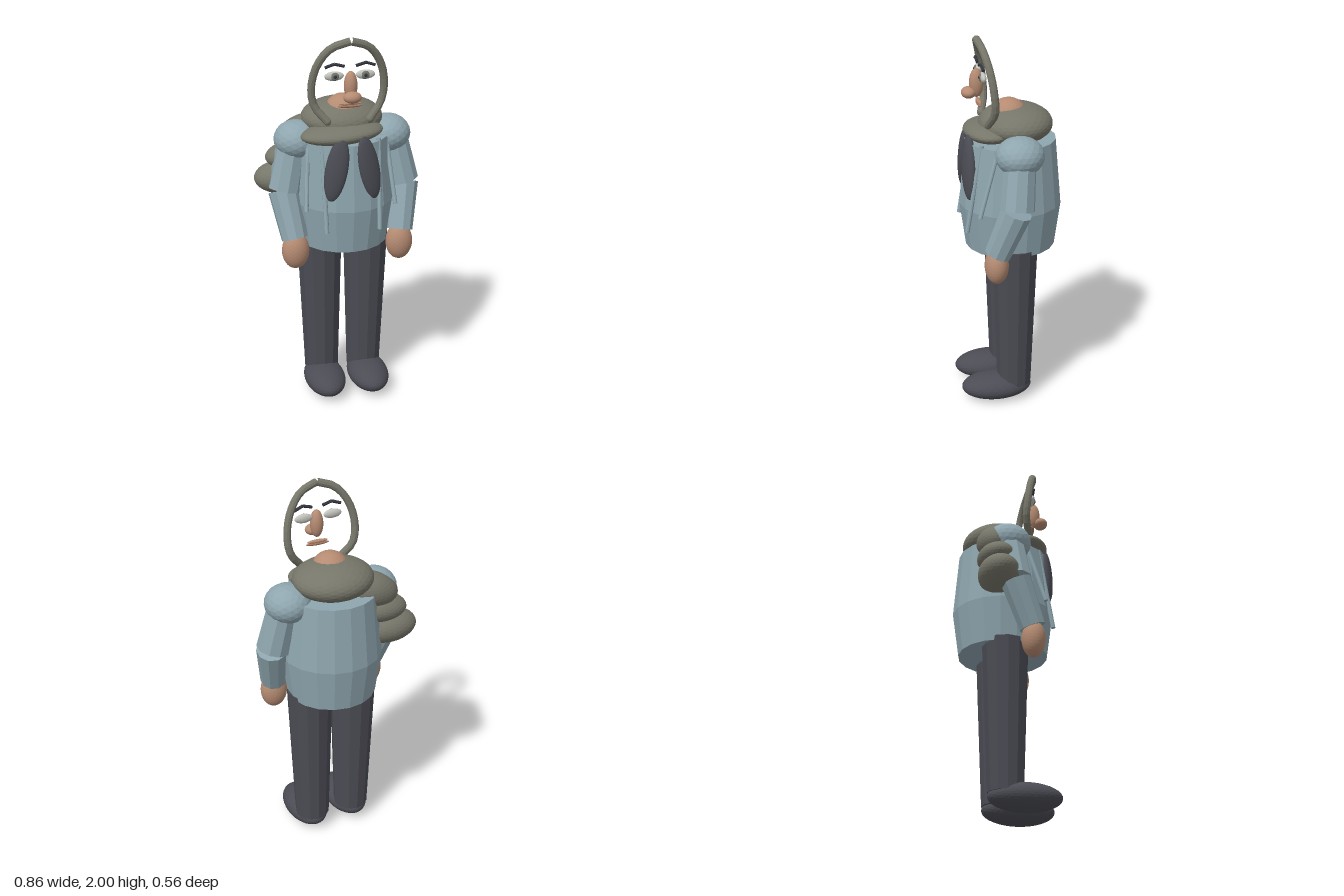
import * as THREE from 'three';

const mat = (name, color) => {
  const m = new THREE.MeshStandardMaterial({ color, flatShading: true });
  m.name = name;
  return m;
};

export function createModel() {
  const root = new THREE.Group();
  root.name = 'figure';
  const body = new THREE.Group();
  body.name = 'body';
  body.position.x = 0.026;
  root.add(body);

  const jacket = mat('jacket blue', 0x8fa6af);
  const dark = mat('trouser charcoal', 0x4b4c54);
  const fur = mat('scarf grey', 0x77766a);
  const skin = mat('skin', 0xb58b72);
  const lip = mat('lip', 0xa4775f);
  const white = mat('eye white', 0xc4c4bd);
  const iris = mat('iris grey', 0x74766f);
  const ink = mat('brow dark', 0x34373f);

  const add = (name, geo, m) => {
    const mesh = new THREE.Mesh(geo, m);
    mesh.name = name;
    body.add(mesh);
    return mesh;
  };
  const ball = (name, m, pos, size, rot = [0, 0, 0], detail = 5) => {
    const mesh = add(name, new THREE.IcosahedronGeometry(1, detail), m);
    mesh.position.set(...pos);
    mesh.scale.set(...size);
    mesh.rotation.set(...rot);
    return mesh;
  };
  // Tapered cylinder between two points
  const limb = (name, m, from, to, rFrom, rTo, sides) => {
    const a = new THREE.Vector3(...from), b = new THREE.Vector3(...to);
    const mesh = add(name, new THREE.CylinderGeometry(rTo, rFrom, a.distanceTo(b), sides), m);
    mesh.position.copy(a).lerp(b, 0.5);
    mesh.quaternion.setFromUnitVectors(new THREE.Vector3(0, 1, 0), b.sub(a).normalize());
    return mesh;
  };

  // Jacket: chest and skirt frustums
  limb('jacketChest', jacket, [0, 1.11, -0.007], [0, 1.458, -0.007], 0.268, 0.238, 18);
  limb('jacketSkirt', jacket, [0, 0.875, -0.007], [0, 1.11, -0.007], 0.236, 0.268, 18);

  // Neck and scarf
  ball('neck', skin, [0, 1.567, 0], [0.1, 0.1, 0.1]);
  ball('scarf', fur, [0, 1.535, -0.035], [0.213, 0.1, 0.192]);
  ball('scarfFront', fur, [-0.03, 1.492, 0.1], [0.215, 0.053, 0.13], [0, 0, 0.06]);

  // Scarf tail hanging over the right shoulder
  ball('scarfTailTop', fur, [-0.19, 1.45, -0.07], [0.16, 0.095, 0.103], [0, 0, 0.3]);
  ball('scarfTailMiddle', fur, [-0.235, 1.335, -0.068], [0.165, 0.075, 0.105], [0, 0, 0.08]);
  ball('scarfTailBottom', fur, [-0.295, 1.215, -0.065], [0.166, 0.09, 0.11]);

  for (const s of [-1, 1]) {
    const side = s > 0 ? 'left' : 'right';

    // Legs and shoes
    limb(side + 'Leg', dark, [s * 0.118, 0.09, -0.008], [s * 0.126, 0.9, -0.01], 0.093, 0.122, 12);
    ball(side + 'Shoe', dark, [s * 0.122, 0.073, 0.09], [0.11, 0.073, 0.19]);

    // Arms
    ball(side + 'Shoulder', jacket, [s * 0.24, 1.435, -0.013], [0.122, 0.1, 0.125], [0, 0, 0], 3);
    limb(side + 'UpperArm', jacket, [s * 0.315, 1.175, 0.015], [s * 0.26, 1.44, -0.012], 0.09, 0.08, 10);
    limb(side + 'Forearm', jacket, [s * 0.282, 0.93, 0.11], [s * 0.32, 1.17, 0.02], 0.07, 0.083, 10);
    ball(side + 'Hand', skin, [s * 0.28, 0.865, 0.115], [0.072, 0.1, 0.062]);

    // Dark chest panels lying on the jacket front
    ball(side + 'ChestPanel', dark, [s * 0.085, 1.335, 0.222], [0.058, 0.17, 0.03],
      [-0.09, s * 0.33, s * 0.2]);

    // Hanging cords
    limb(side + 'InnerCord', jacket, [s * 0.14, 1.0, 0.243], [s * 0.148, 1.47, 0.165], 0.012, 0.012, 10);
    limb(side + 'OuterCord', jacket, [s * 0.235, 1.11, 0.19], [s * 0.205, 1.46, 0.09], 0.011, 0.011, 10);

    // Hood rim, one braided half each side
    const rim = new THREE.CatmullRomCurve3([
      [0, 1.98, 0.165], [0.095, 1.945, 0.148], [0.16, 1.86, 0.125],
      [0.188, 1.74, 0.106], [0.172, 1.64, 0.1], [0.11, 1.562, 0.125],
    ].map(([x, y, z]) => new THREE.Vector3(s * x, y, z)));
    add(side + 'HoodRim', new THREE.TubeGeometry(rim, 14, 0.02, 10), fur);
    ball(side + 'HoodRimEnd', fur, [s * 0.11, 1.562, 0.125], [0.02, 0.02, 0.02], [0, 0, 0], 2);

    // Brow
    limb(side + 'BrowInner', ink, [s * 0.03, 1.853, 0.155], [s * 0.08, 1.867, 0.155], 0.008, 0.008, 6);
    limb(side + 'BrowOuter', ink, [s * 0.08, 1.867, 0.155], [s * 0.128, 1.85, 0.15], 0.008, 0.008, 6);

    // Eye
    ball(side + 'Eye', white, [s * 0.08, 1.803, 0.145], [0.05, 0.024, 0.016], [0, 0, 0], 3);
    ball(side + 'Iris', iris, [s * 0.078, 1.803, 0.157], [0.021, 0.021, 0.008], [0, 0, 0], 3);
    ball(side + 'Pupil', ink, [s * 0.078, 1.803, 0.164], [0.009, 0.009, 0.004], [0, 0, 0], 2);
  }

  // Nose and mouth
  ball('noseBridge', skin, [0, 1.755, 0.165], [0.034, 0.075, 0.037]);
  ball('noseTip', skin, [0, 1.706, 0.206], [0.046, 0.03, 0.038]);
  ball('upperLip', skin, [0, 1.66, 0.155], [0.058, 0.009, 0.012], [0, 0, 0], 3);
  ball('lowerLip', lip, [0, 1.647, 0.155], [0.064, 0.009, 0.012], [0, 0, 0], 3);

  return root;
}
